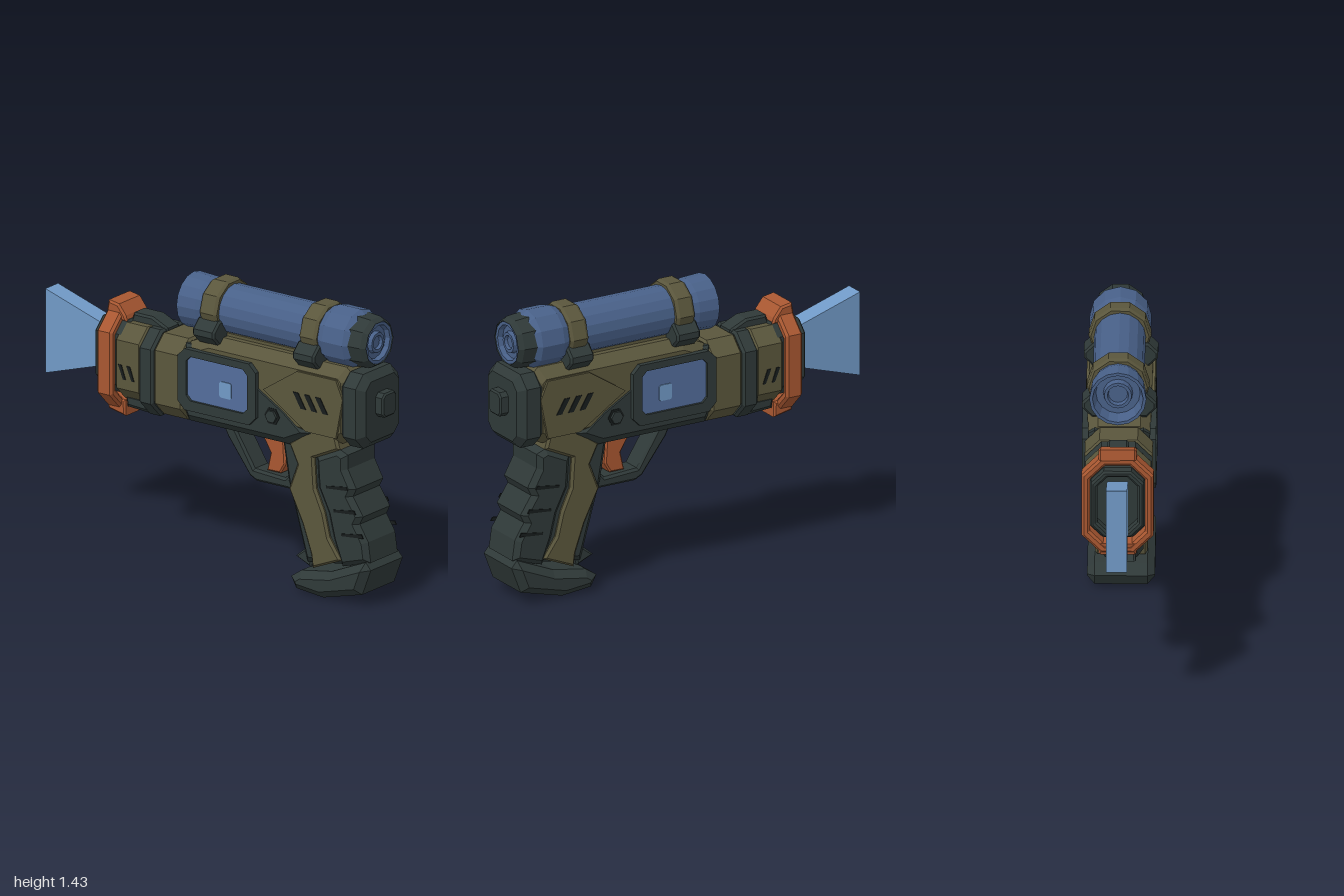
import * as THREE from 'three';

const mat = (name, color) => {
  const m = new THREE.MeshStandardMaterial({ color });
  m.name = name;
  return m;
};

export function createModel() {
  const root = new THREE.Group();
  root.name = 'blaster';
  const dark = mat('dark gunmetal', 0x2f3938);
  const olive = mat('olive', 0x5a563c);
  const blue = mat('steel blue', 0x486088);
  const orange = mat('burnt orange', 0xa85731);
  const beamBlue = mat('beam blue', 0x7099c6);
  const screenBlue = mat('screen blue', 0x536d9b);
  const black = mat('slot black', 0x171c1c);

  const add = (name, geo, material, parent = root) => {
    const mesh = new THREE.Mesh(geo, material);
    mesh.name = name;
    parent.add(mesh);
    return mesh;
  };
  const outline = (pts) => new THREE.Shape(pts.map(([x, y]) => new THREE.Vector2(x, y)));

  // Side profile extruded across z, with chamfered edges
  const slab = (name, pts, half, bevel, material, hole) => {
    const shape = outline(pts);
    if (hole) shape.holes.push(outline(hole));
    const geo = new THREE.ExtrudeGeometry(shape, {
      depth: 2 * (half - bevel), bevelEnabled: bevel > 0, bevelThickness: bevel,
      bevelSize: bevel, bevelOffset: -bevel, bevelSegments: 1,
    });
    geo.translate(0, 0, -(half - bevel));
    return add(name, geo, material);
  };

  // Thin plate mirrored on both flanks
  const plates = (name, pts, z, thick, material, hole) => {
    for (const s of [1, -1]) {
      const shape = outline(pts);
      if (hole) shape.holes.push(outline(hole));
      const geo = new THREE.ExtrudeGeometry(shape, { depth: thick, bevelEnabled: false });
      geo.translate(0, 0, s > 0 ? z : -z - thick);
      add((s > 0 ? 'front ' : 'back ') + name, geo, material);
    }
  };

  // Octagonal cross-section running along x
  const octagon = (y0, y1, w, c) => [
    [-w, y0 + c], [-w + c, y0], [w - c, y0], [w, y0 + c],
    [w, y1 - c], [w - c, y1], [-w + c, y1], [-w, y1 - c],
  ];
  const prism = (name, x0, x1, y0, y1, w, c, bevel, material, wall = 0) => {
    const shape = outline(octagon(y0, y1, w, c));
    if (wall) shape.holes.push(outline(octagon(y0 + wall, y1 - wall, w - wall, c * 0.8)));
    const geo = new THREE.ExtrudeGeometry(shape, {
      depth: x1 - x0 - 2 * bevel, bevelEnabled: bevel > 0, bevelThickness: bevel,
      bevelSize: bevel, bevelOffset: -bevel, bevelSegments: 1,
    });
    geo.translate(0, 0, bevel).rotateY(Math.PI / 2).translate(x0, 0, 0);
    return add(name, geo, material);
  };

  // Faceted turned part along x; profile is [x, radius]
  const turned = (name, profile, material, sides = 16) => {
    let geo = new THREE.LatheGeometry(profile.map(([x, r]) => new THREE.Vector2(r, x)), sides);
    geo = geo.toNonIndexed();
    geo.computeVertexNormals();
    geo.rotateZ(-Math.PI / 2).translate(0, 1.28, -0.005);
    return add(name, geo, material);
  };

  // Muzzle and light beam
  slab('beam', [[-1, 0.755], [-0.63, 0.87], [-0.63, 1.06], [-1, 1.175]], 0.05, 0, beamBlue);
  prism('muzzle', -0.655, -0.56, 0.78, 1.12, 0.125, 0.06, 0.01, dark, 0.03);
  prism('muzzleFloor', -0.6, -0.48, 0.76, 1.13, 0.135, 0.06, 0.01, dark);

  // Orange muzzle collar with top and bottom hooks
  prism('collar', -0.61, -0.52, 0.68, 1.17, 0.17, 0.09, 0.012, orange, 0.04);
  slab('collarTop', [[-0.59, 1.12], [-0.49, 1.12], [-0.5, 1.15], [-0.54, 1.2], [-0.6, 1.21], [-0.61, 1.16]],
    0.09, 0.01, orange);
  slab('collarBottom', [[-0.61, 0.73], [-0.6, 0.67], [-0.5, 0.65], [-0.5, 0.73]], 0.09, 0.01, orange);

  // Barrel sections
  prism('barrelSleeve', -0.51, -0.36, 0.74, 1.12, 0.155, 0.07, 0.01, olive);
  prism('barrelBand', -0.37, -0.285, 0.69, 1.12, 0.16, 0.08, 0.012, dark);
  prism('barrelCore', -0.4, 0, 0.76, 1.08, 0.12, 0.06, 0, dark);
  prism('barrelBlock', -0.28, -0.11, 0.71, 1.115, 0.16, 0.07, 0.012, olive);
  slab('barrelKeel', [[-0.5, 0.77], [-0.49, 0.7], [-0.3, 0.69], [-0.3, 0.77]], 0.1, 0.02, dark);
  slab('barrelRail', [[-0.5, 1.1], [-0.48, 1.16], [-0.37, 1.16], [-0.28, 1.12], [-0.28, 1.09]], 0.05, 0.01, dark);
  for (const x of [-0.49, -0.44]) {
    plates('barrelSlot', [[x, 0.93], [x + 0.03, 0.86], [x + 0.045, 0.86], [x + 0.02, 0.93]], 0.153, 0.006, black);
  }

  // Receiver
  slab('upperReceiver', [[-0.12, 1.05], [-0.1, 1.11], [0.03, 1.165], [0.82, 1.165], [0.87, 1.12], [0.87, 0.82],
    [0.8, 0.78], [0.5, 0.78], [0.2, 0.85]], 0.15, 0.05, olive);
  slab('lowerReceiver', [[-0.14, 0.8], [-0.1, 0.72], [0.05, 0.72], [0.5, 0.72], [0.64, 0.8], [0.5, 0.92],
    [0.36, 1.0], [0.33, 1.1], [-0.12, 1.1]], 0.155, 0.04, dark);
  plates('cheekPlate', [[0.37, 0.98], [0.57, 1.11], [0.8, 1.11], [0.84, 1.02], [0.8, 0.82], [0.62, 0.82]],
    0.148, 0.014, olive);
  for (let i = 0; i < 3; i++) {
    const x = 0.55 + i * 0.065;
    plates('vent', [[x, 1.005], [x + 0.045, 0.93], [x + 0.075, 0.93], [x + 0.03, 1.005]], 0.161, 0.005, black);
  }
  prism('rearCap', 0.81, 0.955, 0.78, 1.15, 0.165, 0.06, 0.035, dark);
  prism('rearButton', 0.94, 1.0, 0.93, 1.05, 0.055, 0.02, 0.008, dark);

  // Display with raised frame and bolt on each flank
  const rect = (x0, x1, y0, y1, c) => [
    [x0 + c, y0], [x1 - c, y0], [x1, y0 + c], [x1, y1 - c],
    [x1 - c, y1], [x0 + c, y1], [x0, y1 - c], [x0, y0 + c],
  ];
  plates('displayFrame', rect(-0.125, 0.335, 0.79, 1.095, 0.04), 0.145, 0.03, dark, rect(-0.075, 0.285, 0.84, 1.06, 0.025));
  plates('display', rect(-0.075, 0.285, 0.84, 1.06, 0.025), 0.154, 0.008, screenBlue);
  plates('displayIcon', rect(0.115, 0.185, 0.89, 0.97, 0.008), 0.162, 0.004, beamBlue);
  const hex = (cx, cy, r) => Array.from({ length: 6 }, (_, i) =>
    [cx + r * Math.cos(i * Math.PI / 3), cy + r * Math.sin(i * Math.PI / 3)]);
  plates('boltSeat', hex(0.42, 0.855, 0.045), 0.15, 0.008, black);
  plates('bolt', hex(0.42, 0.855, 0.032), 0.15, 0.02, dark);

  // Trigger and guard
  slab('triggerGuard', [[0.04, 0.74], [0.08, 0.66], [0.21, 0.49], [0.25, 0.47], [0.5, 0.47], [0.52, 0.74]],
    0.06, 0.012, dark, [[0.13, 0.7], [0.24, 0.53], [0.42, 0.52], [0.46, 0.56], [0.42, 0.71]]);
  slab('trigger', [[0.25, 0.73], [0.29, 0.67], [0.32, 0.62], [0.3, 0.53], [0.38, 0.53], [0.41, 0.58], [0.4, 0.73]],
    0.04, 0.008, orange);

  // Grip
  slab('gripFront', [[0.42, 0.75], [0.46, 0.52], [0.57, 0.14], [0.85, 0.18], [0.78, 0.78], [0.6, 0.8]],
    0.105, 0.03, dark);
  slab('gripSpine', [[0.49, 0.73], [0.62, 0.82], [0.77, 0.82], [0.79, 0.75], [0.64, 0.68], [0.65, 0.53],
    [0.7, 0.42], [0.73, 0.3], [0.8, 0.2], [0.63, 0.13], [0.62, 0.2], [0.57, 0.34], [0.49, 0.5], [0.54, 0.63]],
    0.125, 0.012, olive);
  slab('gripBack', [[0.65, 0.69], [0.78, 0.75], [0.83, 0.73], [0.83, 0.66], [0.88, 0.57], [0.86, 0.53],
    [0.92, 0.44], [0.9, 0.4], [0.95, 0.32], [0.965, 0.22], [0.8, 0.17], [0.75, 0.3], [0.72, 0.42], [0.66, 0.54]],
    0.13, 0.025, dark);
  for (let i = 0; i < 3; i++) {
    const x = 0.72 + i * 0.045, y = 0.55 - i * 0.11;
    plates('gripGroove', [[x, y], [x + 0.13, y + 0.012], [x + 0.12, y + 0.03], [x, y + 0.012]], 0.128, 0.005, black);
  }
  slab('gripBase', [[0.51, 0.07], [0.54, 0.015], [0.7, 0], [0.93, 0.06], [0.98, 0.19], [0.95, 0.225],
    [0.75, 0.14], [0.57, 0.11]], 0.16, 0.035, dark);
  slab('gripSpur', [[0.49, 0.15], [0.58, 0.11], [0.6, 0.17], [0.55, 0.2]], 0.07, 0.01, dark);

  // Scope tube with recessed lenses
  turned('scopeTube', [[-0.1, 0], [-0.1, 0.045], [-0.125, 0.05], [-0.125, 0.065], [-0.09, 0.07], [-0.09, 0.105],
    [-0.165, 0.12], [-0.165, 0.135], [-0.06, 0.13], [-0.03, 0.122], [0.68, 0.122], [0.68, 0]], blue);
  turned('scopeHousing', [[0.66, 0], [0.66, 0.13], [0.7, 0.146], [0.82, 0.146], [0.85, 0.125], [0.85, 0]], blue, 12);
  turned('scopeEndCap', [[0.83, 0], [0.83, 0.132], [0.91, 0.125], [0.935, 0.108], [0.9, 0.1], [0.9, 0]], dark, 10);
  turned('scopeRearLens', [[0.88, 0], [0.88, 0.105], [0.93, 0.105], [0.93, 0.088], [0.905, 0.082], [0.905, 0.055],
    [0.925, 0.05], [0.925, 0.035], [0.91, 0.03], [0.91, 0]], blue, 12);

  // Olive straps and dark clamp feet
  for (const x of [0.025, 0.615]) {
    turned('scopeStrap', [[x - 0.05, 0.11], [x - 0.05, 0.138], [x - 0.035, 0.148], [x + 0.035, 0.148],
      [x + 0.05, 0.138], [x + 0.05, 0.11]], olive, 10);
    prism('scopeClamp', x - 0.065, x + 0.065, 1.13, 1.25, 0.175, 0.045, 0.01, dark);
  }
  slab('scopeRail', [[0.03, 1.14], [0.05, 1.19], [0.78, 1.19], [0.82, 1.14]], 0.07, 0.01, olive);

  return root;
}
